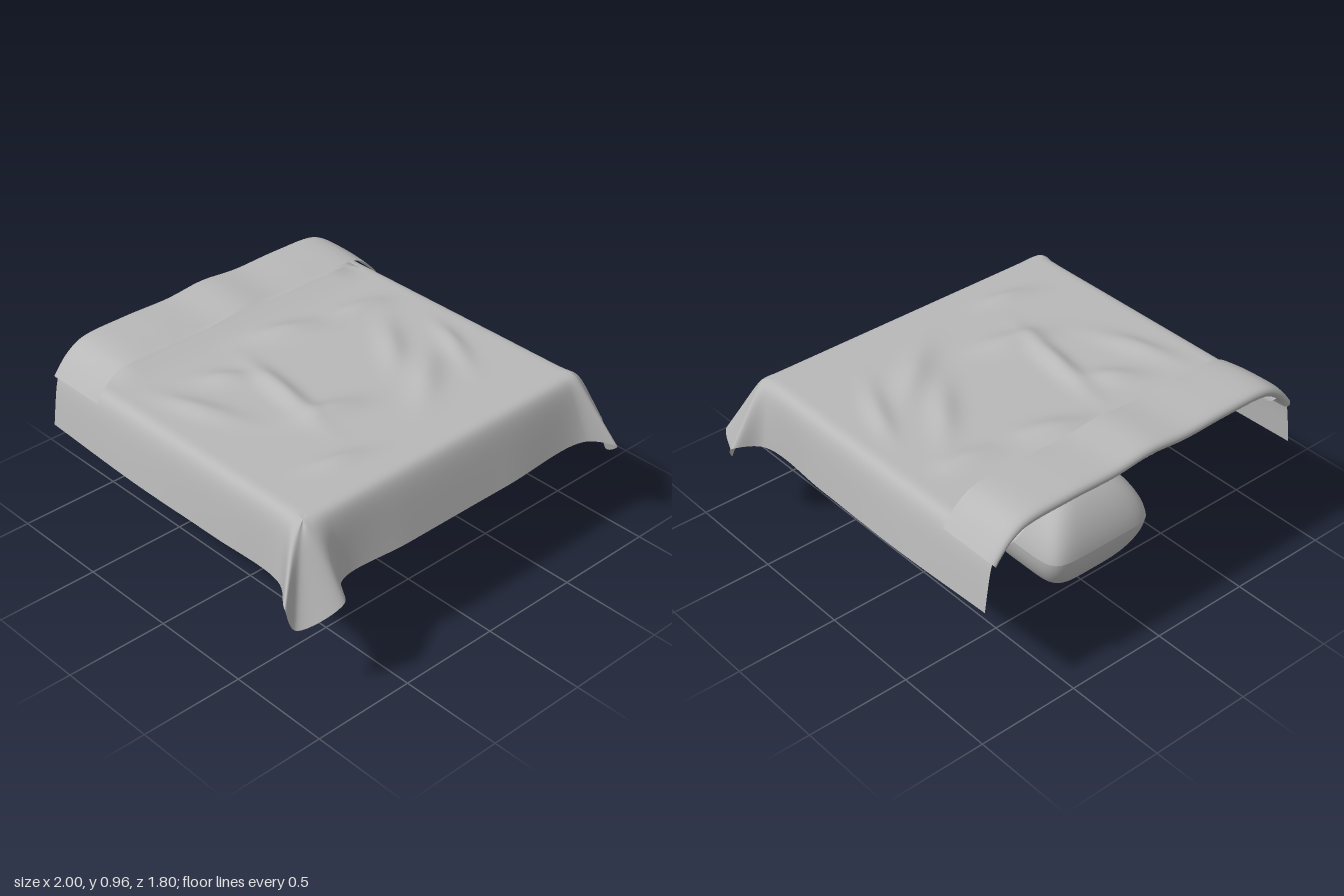
import * as THREE from 'three';
import { mergeVertices } from 'three/addons/utils/BufferGeometryUtils.js';

const V = (x, y, z) => new THREE.Vector3(x, y, z);
const smooth = THREE.MathUtils.smoothstep;

// Surface from a rule fn(u, v) -> Vector3, facing du x dv, smooth normals
function surface(nu, nv, fn) {
  const pos = [], index = [];
  for (let j = 0; j <= nv; j++)
    for (let i = 0; i <= nu; i++) pos.push(...fn(i / nu, j / nv).toArray());
  for (let j = 0; j < nv; j++)
    for (let i = 0; i < nu; i++) {
      const a = j * (nu + 1) + i, b = a + 1, d = a + nu + 1, c = d + 1;
      index.push(a, b, c, a, c, d);
    }
  let g = new THREE.BufferGeometry();
  g.setAttribute('position', new THREE.Float32BufferAttribute(pos, 3));
  g.setIndex(index);
  g = mergeVertices(g, 1e-5);
  g.computeVertexNormals();
  return g;
}

const TOP = 0.835, INX = 0.76, FRONT = 0.66, BACK = -0.88;

// Soft wrinkles: x, z, direction, length, width, height
const wrinkles = [
  [-0.24, -0.05, 1.75, 0.24, 0.05, 0.032], [-0.2, 0.2, 0.3, 0.16, 0.07, 0.03],
  [-0.6, -0.2, 1.2, 0.2, 0.06, 0.022], [-0.42, 0.5, 0.3, 0.14, 0.05, 0.02],
  [0.38, -0.02, -0.9, 0.2, 0.06, 0.024], [0.3, 0.28, -0.7, 0.2, 0.07, 0.028],
  [0.12, -0.42, 0.4, 0.17, 0.07, 0.03], [0.6, 0.15, -1.1, 0.2, 0.05, 0.022],
  [-0.35, -0.3, 0.7, 0.12, 0.06, 0.024], [0.5, -0.35, 0.2, 0.15, 0.06, 0.022],
];
function topHeight(x, z) {
  let h = 0;
  for (const [cx, cz, a, len, wid, amp] of wrinkles) {
    const dx = x - cx, dz = z - cz;
    const p = (dx * Math.cos(a) + dz * Math.sin(a)) / len;
    const q = (dz * Math.cos(a) - dx * Math.sin(a)) / wid;
    h += amp * Math.exp(-p * p - q * q);
  }
  const edge = 1 - smooth(Math.abs(x), 0.6, INX);
  h *= edge * (1 - smooth(z, 0.5, FRONT));
  return TOP + h + 0.065 * edge * (1 - smooth(z, -0.85, -0.5)); // rises under the fold
}

// Hanging sides: key columns of [inner x, z], [shoulder x, z], [hem x, y, z]
const side = [
  [INX, BACK, 0.845, BACK, 0.88, 0.555, BACK],
  [INX, -0.3, 0.845, -0.3, 0.885, 0.535, -0.3],
  [INX, 0.2, 0.845, 0.2, 0.875, 0.525, 0.2],
  [INX, 0.62, 0.845, 0.62, 0.885, 0.53, 0.63],
];
const leftCorner = [
  [INX, FRONT, 0.85, 0.69, 1.0, 0.53, 0.71],
  [INX, FRONT, 0.83, 0.72, 0.945, 0.42, 0.8],
  [INX, FRONT, 0.80, 0.735, 0.9, 0.5, 0.9],
  [0.72, FRONT, 0.74, 0.735, 0.80, 0.52, 0.8],
];
const rightCorner = [
  [INX, FRONT, 0.85, 0.69, 1.0, 0.55, 0.8],
  [INX, FRONT, 0.83, 0.72, 0.945, 0.415, 0.81],
  [INX, FRONT, 0.79, 0.735, 0.76, 0.5, 0.89],
  [0.66, FRONT, 0.67, 0.735, 0.68, 0.515, 0.79],
];
const front = [[0.3, FRONT, 0.3, 0.735, 0.3, 0.515, 0.79]];
const mirror = (k) => [-k[0], k[1], -k[2], k[3], -k[4], k[5], k[6]];
const keys = [...side, ...leftCorner, ...front,
  ...[...side, ...rightCorner, ...front].reverse().map(mirror)];
const curve = (f) => new THREE.CatmullRomCurve3(keys.map(f));
const inner = curve((k) => V(k[0], TOP, k[1]));
const shoulder = curve((k) => V(k[2], TOP, k[3]));
const hem = curve((k) => V(k[4], k[5], k[6]));
function skirtPoint(u, v) {
  const s = shoulder.getPoint(u);
  return new THREE.CubicBezierCurve3(
    inner.getPoint(u), s, V(s.x, TOP - 0.035, s.z), hem.getPoint(u)).getPoint(v);
}

// Turned-back fold: an arch across the bed times a hairpin profile (z, inset)
const half = [[0.855, 0.8], [0.82, 0.845], [0.77, 0.895], [0.69, 0.938], [0.45, 0.95], [0.2, 0.946]];
const arch = new THREE.CatmullRomCurve3([
  ...half.map(([x, y]) => V(-x, y, 0)), V(0, 0.962, 0),
  ...[...half].reverse().map(([x, y]) => V(x, y, 0))]);
const hairpin = new THREE.CatmullRomCurve3([
  [-0.585, 0.016], [-0.66, 0.006], [-0.75, 0], [-0.865, 0.001], [-0.892, 0.012],
  [-0.9, 0.03], [-0.89, 0.05], [-0.86, 0.056], [-0.75, 0.055], [-0.62, 0.058],
].map(([z, d]) => V(0, d, z)));
function foldPoint(u, v) {
  const p = arch.getPoint(u), t = arch.getTangent(u), h = hairpin.getPoint(v);
  return V(p.x + t.y * h.y * 0.6, p.y - t.x * h.y, h.z);
}

// Cushion half: round at the pole, squarish at the seam
function cushionPoint(u, phi) {
  const a = u * Math.PI * 2, c = Math.cos(a), s = Math.sin(a), cp = Math.cos(phi);
  const n = 2.2 + 4.8 * cp * cp;
  const rho = (Math.abs(c) ** n + Math.abs(s) ** n) ** (-1 / n);
  const r = 0.297 * cp * (1 - 0.06 * Math.abs(Math.sin(2 * phi))) * rho;
  return V(r * c, 0.3 + 0.3 * Math.sin(phi), -0.355 - r * s);
}

export function createModel() {
  const group = new THREE.Group();
  const cloth = new THREE.MeshStandardMaterial({ color: 0xb8b8b8, side: THREE.DoubleSide });
  cloth.name = 'grey cloth';
  const add = (name, geometry) => {
    const m = new THREE.Mesh(geometry, cloth);
    m.name = name;
    group.add(m);
  };

  add('coverTop', surface(80, 80, (u, v) => {
    const x = (u * 2 - 1) * INX, z = FRONT + (BACK - FRONT) * v;
    return V(x, topHeight(x, z), z);
  }));
  add('coverSkirt', surface(272, 20, skirtPoint));
  add('turnedFold', surface(96, 54, foldPoint));
  add('cushionUpper', surface(96, 24, (u, v) => cushionPoint(u, v * Math.PI / 2)));
  add('cushionLower', surface(96, 24, (u, v) => cushionPoint(u, (v - 1) * Math.PI / 2)));
  return group;
}
